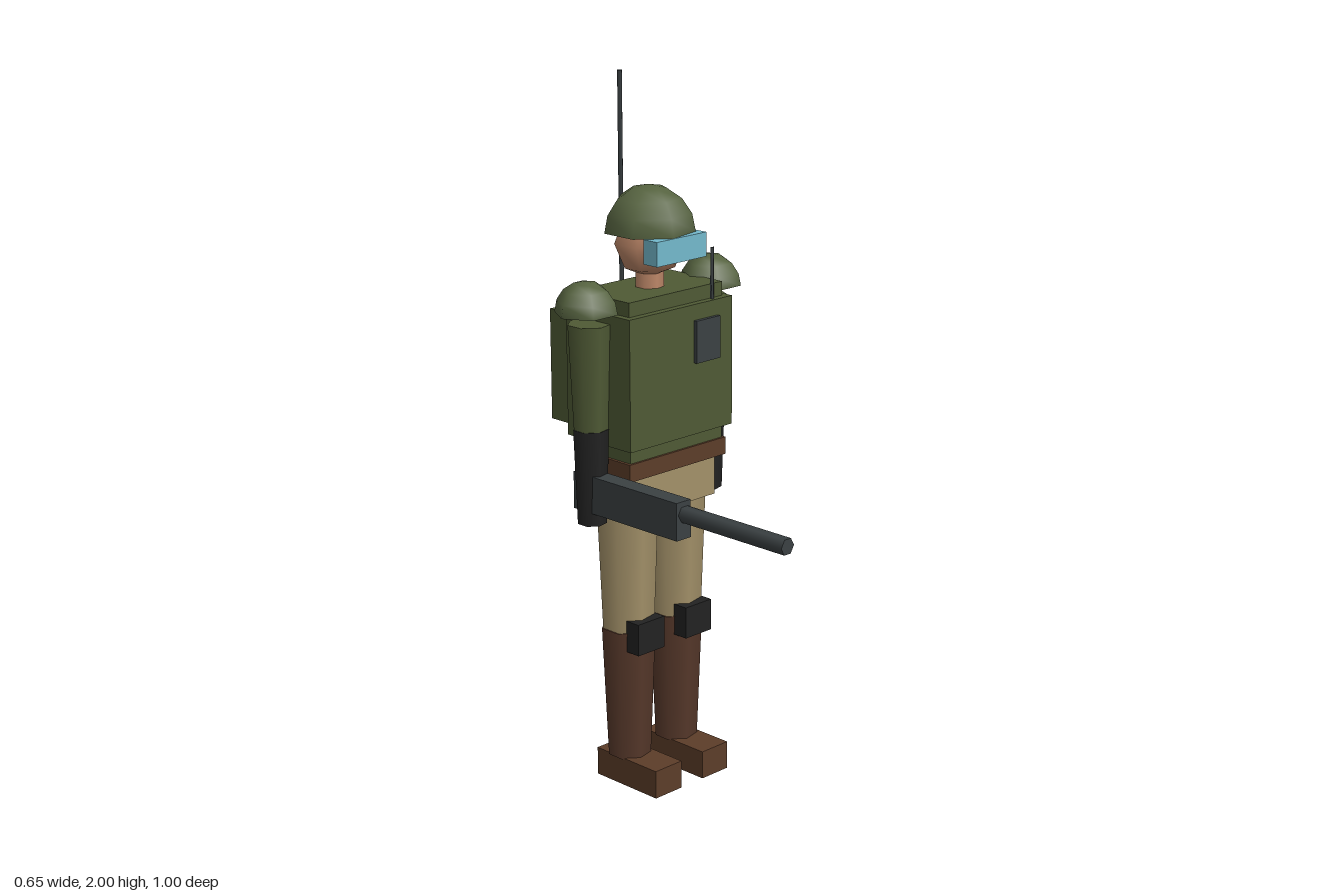
import * as THREE from 'three';
import { mergeGeometries } from 'three/addons/utils/BufferGeometryUtils.js';

const mat = (name, color) => Object.assign(new THREE.MeshStandardMaterial({ color }), { name });

export function createModel() {
  const root = new THREE.Group();
  root.name = 'soldier';
  const M = {
    green: mat('uniform green', 0x4f5a35),
    helmet: mat('helmet green', 0x566340),
    tan: mat('trouser tan', 0xa39169),
    boot: mat('boot brown', 0x56382a),
    leather: mat('leather brown', 0x5c3d29),
    black: mat('glove black', 0x222222),
    metal: mat('gun metal', 0x3b4143),
    visor: mat('visor blue', 0x74b9cc),
    skin: mat('skin', 0xbd8768),
  };
  const Z = -0.226; // depth of the body axis

  const add = (name, geo, material, x, y, z) => {
    const m = new THREE.Mesh(geo, material);
    m.name = name;
    m.position.set(x, y, z);
    root.add(m);
    return m;
  };
  // box given by its extents
  const box = (name, material, x0, x1, y0, y1, z0, z1) =>
    add(name, new THREE.BoxGeometry(x1 - x0, y1 - y0, z1 - z0), material,
      (x0 + x1) / 2, (y0 + y1) / 2, (z0 + z1) / 2);
  // upright tapered prism with a corner towards +x
  const post = (name, material, x, z, y0, y1, rBottom, rTop, sides = 7) =>
    add(name, new THREE.CylinderGeometry(rTop, rBottom, y1 - y0, sides).rotateY(Math.PI / 2),
      material, x, (y0 + y1) / 2, z);
  // closed half sphere with a corner towards +x
  const dome = (name, material, x, y, r, sides) => {
    const shell = new THREE.SphereGeometry(r, sides, 4, 0, Math.PI * 2, 0, Math.PI / 2).rotateY(Math.PI);
    const base = new THREE.CircleGeometry(r, sides).rotateX(Math.PI / 2);
    add(name, mergeGeometries([shell, base]), material, x, y, Z);
  };

  // Trunk
  box('torso', M.green, -0.178, 0.178, 0.97, 1.44, -0.331, -0.122);
  box('vest', M.green, -0.197, 0.197, 1.03, 1.4, -0.351, -0.101);
  box('belt', M.leather, -0.187, 0.187, 0.94, 0.99, -0.336, -0.115);
  box('hips', M.tan, -0.158, 0.158, 0.825, 0.94, -0.318, -0.13);

  // Head
  post('neck', M.skin, 0, Z, 1.42, 1.5, 0.04, 0.04);
  add('head', new THREE.SphereGeometry(0.1, 7, 4).rotateY(Math.PI), M.skin, 0, 1.565, Z);
  dome('helmet', M.helmet, 0, 1.595, 0.128, 7);
  box('visor', M.visor, -0.094, 0.094, 1.527, 1.595, -0.152, -0.1);

  // Limbs, in pairs
  for (const [side, s] of [['left', 1], ['right', -1]]) {
    const lx = s * 0.094, ax = s * 0.227;
    post(side + 'Thigh', M.tan, lx, Z, 0.46, 0.89, 0.074, 0.09);
    post(side + 'Boot', M.boot, lx, Z, 0.08, 0.47, 0.062, 0.078);
    box(side + 'Foot', M.leather, lx - 0.051, lx + 0.051, 0, 0.083, -0.306, -0.066);
    box(side + 'KneePad', M.black, lx - 0.051, lx + 0.051, 0.415, 0.508, -0.181, -0.132);
    post(side + 'Sleeve', M.green, ax, Z, 1.08, 1.375, 0.048, 0.061);
    post(side + 'Forearm', M.black, ax, Z, 0.81, 1.08, 0.041, 0.05);
    dome(side + 'ShoulderPad', M.helmet, s * 0.238, 1.405, 0.089, 6);
  }

  // Chest radio
  box('chestRadio', M.metal, 0.047, 0.139, 1.235, 1.355, -0.13, -0.09);
  post('chestAntenna', M.metal, 0.131, -0.113, 1.35, 1.545, 0.006, 0.006, 3);

  // Backpack radio
  box('backpack', M.green, -0.122, 0.121, 1.03, 1.35, -0.5, -0.367);
  post('backpackAntenna', M.metal, 0.092, -0.433, 1.34, 2, 0.009, 0.009, 4);

  // Gun in the right hand
  box('gunBody', M.metal, -0.253, -0.2, 0.848, 0.954, -0.27, 0.13);
  const barrel = new THREE.CylinderGeometry(0.024, 0.024, 0.38, 6).rotateY(Math.PI / 2).rotateX(Math.PI / 2);
  add('gunBarrel', barrel, M.metal, -0.223, 0.918, 0.31);

  return root;
}
